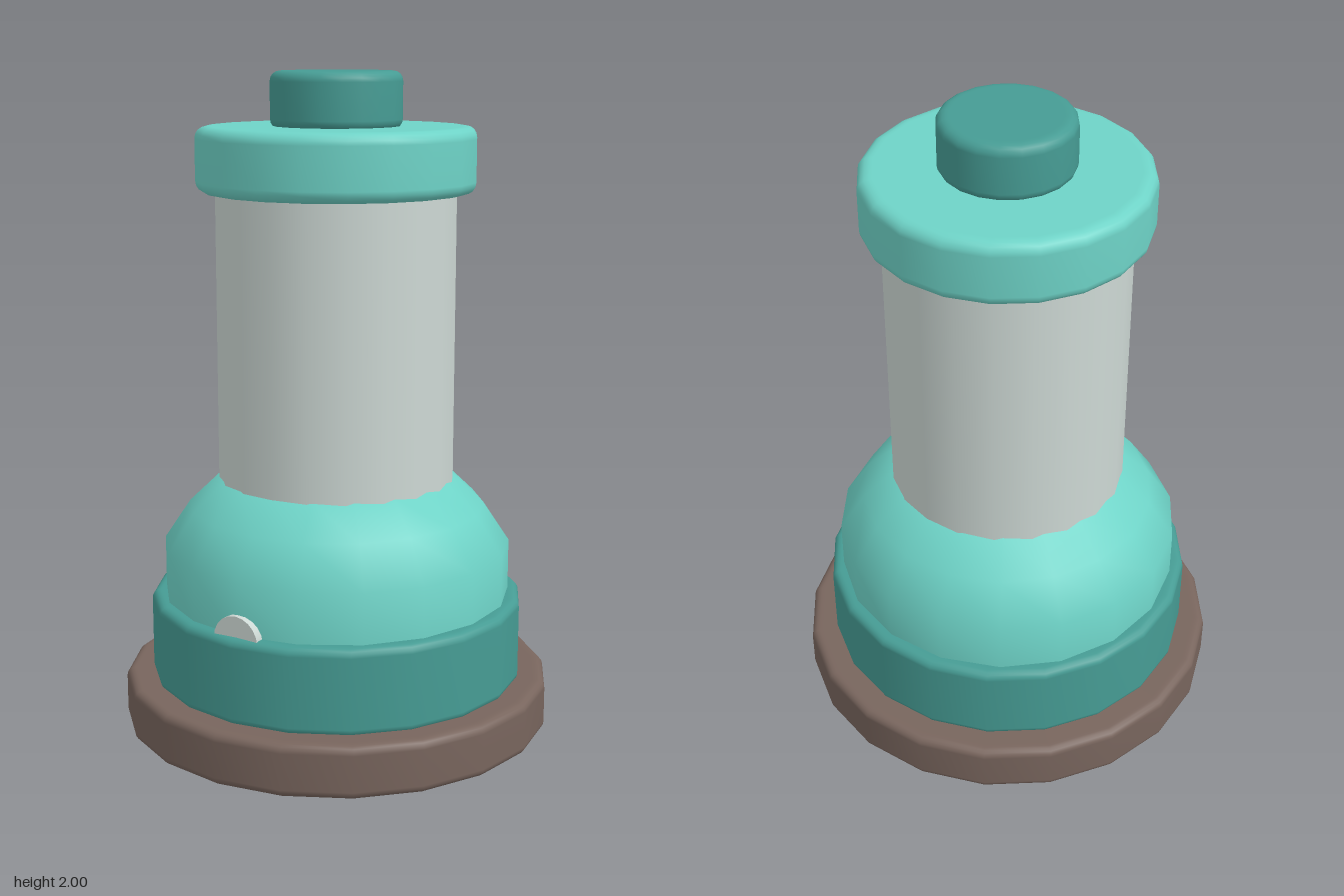
import * as THREE from 'three';

function flat(name, color) {
  const m = new THREE.MeshStandardMaterial({ color });
  m.name = name;
  return m;
}

// Profile of a disc with rounded rims, from bottom centre to top centre
function roundedDisc(radius, y0, y1, bevel, sides = 20) {
  const points = [new THREE.Vector2(0, y0), new THREE.Vector2(radius - bevel - 0.01, y0)];
  const steps = 4;
  for (const [cy, start] of [[y0 + bevel, -Math.PI / 2], [y1 - bevel, 0]]) {
    for (let i = 0; i <= steps; i++) {
      const a = start + (i / steps) * Math.PI / 2;
      points.push(new THREE.Vector2(radius - bevel + Math.cos(a) * bevel, cy + Math.sin(a) * bevel));
    }
  }
  points.push(new THREE.Vector2(radius - bevel - 0.01, y1), new THREE.Vector2(0, y1));
  return new THREE.LatheGeometry(points, sides);
}

export function createModel() {
  const model = new THREE.Group();
  const teal = flat('light teal', 0x6ed3c7);
  const darkTeal = flat('dark teal', 0x469c94);
  const brown = flat('brown', 0x78655d);
  const grey = flat('pale grey', 0xcdd8d4);

  const add = (name, geometry, material) => {
    const mesh = new THREE.Mesh(geometry, material);
    mesh.name = name;
    model.add(mesh);
    return mesh;
  };

  // Stacked base
  add('foot', roundedDisc(0.66, 0, 0.16, 0.025), brown);
  add('baseRing', roundedDisc(0.575, 0.15, 0.415, 0.025), darkTeal);

  // Faceted dome shoulder
  const dome = [[0.535, 0.39], [0.535, 0.57], [0.455, 0.69], [0.355, 0.785], [0.2, 0.83], [0, 0.845]]
    .map(([r, y]) => new THREE.Vector2(r, y));
  add('dome', new THREE.LatheGeometry(dome, 18), teal);

  // Column, cap and knob
  const column = add('column', new THREE.CylinderGeometry(0.362, 0.362, 1.0, 20), grey);
  column.position.y = 1.2;
  add('cap', roundedDisc(0.42, 1.645, 1.84, 0.035), teal);
  add('knob', roundedDisc(0.197, 1.83, 2, 0.03), darkTeal);

  // Small round button half sunk into the base ring
  const button = add('button', new THREE.CylinderGeometry(0.076, 0.076, 0.05, 20), grey);
  button.rotation.x = Math.PI / 2;
  button.position.set(0, 0.402, 0.524);

  return model;
}
